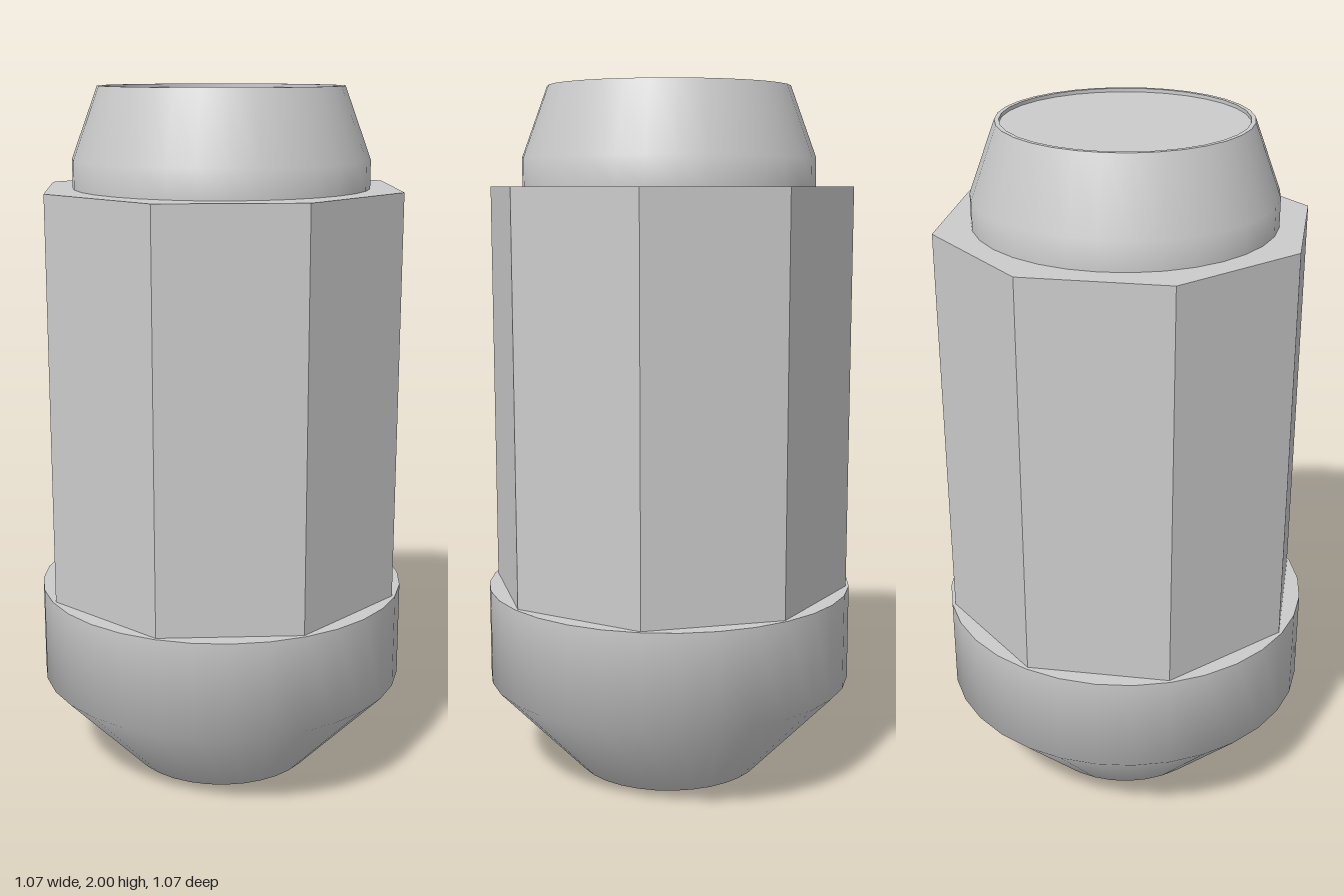
import * as THREE from 'three';

const SIDES = 32;

// Each strip is smooth in itself; the edges between strips stay sharp.
function turnedPart(name, strips, material) {
  const part = new THREE.Group();
  part.name = name;
  for (const [stripName, points] of Object.entries(strips)) {
    const profile = points.map(([r, y]) => new THREE.Vector2(r, y));
    const mesh = new THREE.Mesh(new THREE.LatheGeometry(profile, SIDES), material);
    mesh.name = stripName;
    part.add(mesh);
  }
  return part;
}

export function createModel() {
  const model = new THREE.Group();
  model.name = 'wheelNut';
  const smooth = new THREE.MeshStandardMaterial({ color: 0xcccccc });
  const flat = new THREE.MeshStandardMaterial({ color: 0xcccccc, flatShading: true });

  // Conical seat with a blind hole underneath
  model.add(turnedPart('conicalSeat', {
    holeEnd: [[0, 0.2], [0.244, 0.2]],
    holeWall: [[0.244, 0.2], [0.244, 0]],
    bottomRim: [[0.244, 0], [0.275, 0]],
    seatWall: [[0.275, 0], [0.537, 0.275], [0.537, 0.555]],
    seatTop: [[0.537, 0.555], [0, 0.555]],
  }, smooth));

  // Eight-sided grip, corners on the axes
  const bottom = 0.555, top = 1.72;
  const grip = new THREE.Mesh(new THREE.CylinderGeometry(0.528, 0.528, top - bottom, 8), flat);
  grip.name = 'octagonalGrip';
  grip.position.y = (bottom + top) / 2;
  model.add(grip);

  // Tapered cap with a thin rim around a slightly sunken end
  model.add(turnedPart('taperedCap', {
    capWall: [[0.42, 1.72], [0.42, 1.8], [0.346, 2]],
    capRim: [[0.346, 2], [0.334, 2]],
    rimInside: [[0.334, 2], [0.334, 1.99]],
    capEnd: [[0.334, 1.99], [0, 1.99]],
  }, smooth));

  return model;
}
